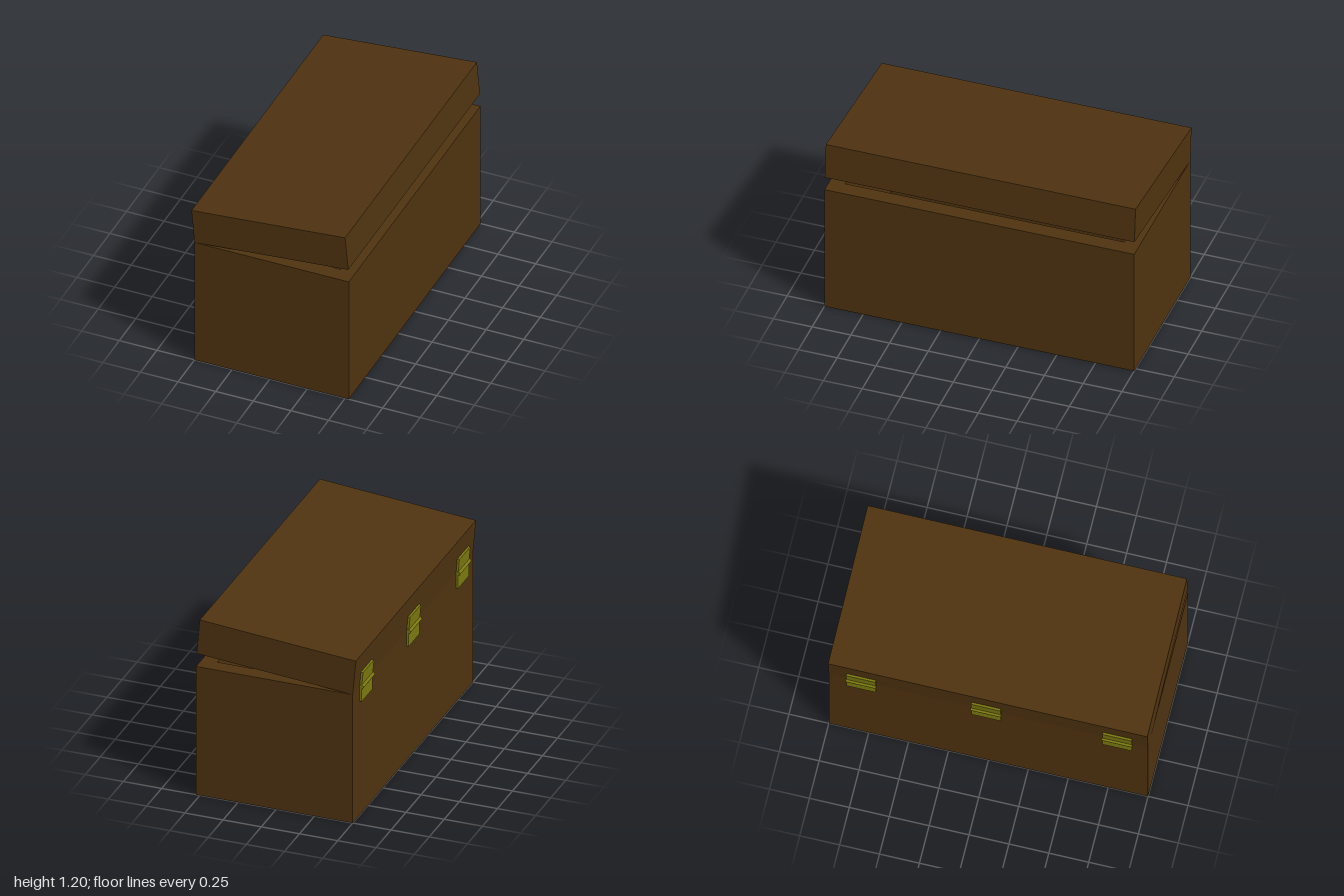
import * as THREE from 'three';

const WOOD = new THREE.MeshStandardMaterial({ color: 0x4f3310, flatShading: true });
const BRASS = new THREE.MeshStandardMaterial({ color: 0x7d7a10 });

const WIDTH = 1.025, LENGTH = 2, WALL = 0.1;
const BACK = -0.5, BASE_H = 0.88, LID_H = 0.235;
const OPEN = THREE.MathUtils.degToRad(5);

function mesh(name, geometry, material, x = 0, y = 0, z = 0) {
  const m = new THREE.Mesh(geometry, material);
  m.name = name;
  m.position.set(x, y, z);
  return m;
}

// Rectangular outline in plan, starting at the hinge edge
function rectangle(Type, inset) {
  const x0 = inset, x1 = WIDTH - inset, z = LENGTH / 2 - inset;
  return new Type([[x0, -z], [x1, -z], [x1, z], [x0, z]].map(p => new THREE.Vector2(...p)));
}

// Hollow wooden box: four walls plus a panel closing one end
function hollowBox(name, height, panelY) {
  const group = new THREE.Group();
  group.name = name;
  const outline = rectangle(THREE.Shape, 0);
  outline.holes.push(rectangle(THREE.Path, WALL));
  const walls = new THREE.ExtrudeGeometry(outline, { depth: height, bevelEnabled: false });
  walls.rotateX(-Math.PI / 2);
  const panel = new THREE.BoxGeometry(WIDTH - 2 * WALL, WALL, LENGTH - 2 * WALL);
  group.add(mesh(name + 'Walls', walls, WOOD));
  group.add(mesh(name + 'Panel', panel, WOOD, WIDTH / 2, panelY, 0));
  return group;
}

export function createModel() {
  const model = new THREE.Group();
  model.name = 'chest';

  // Open-topped base
  const base = hollowBox('base', BASE_H, WALL / 2);
  base.position.x = BACK;
  model.add(base);

  // Lid, pivoting on the base's rear top edge
  const lid = hollowBox('lid', LID_H, LID_H - WALL / 2);
  lid.position.set(BACK, BASE_H, 0);
  lid.rotation.z = OPEN;
  model.add(lid);

  // Three hinges: a leaf on the base, a leaf on the lid and a pin between
  const leaf = new THREE.BoxGeometry(0.014, 0.1, 0.183);
  const pin = new THREE.CylinderGeometry(0.013, 0.013, 0.19, 16).rotateX(Math.PI / 2);
  [-0.795, -0.012, 0.81].forEach((z, i) => {
    const fixed = new THREE.Group();
    fixed.name = 'hinge' + (i + 1);
    fixed.add(mesh('baseLeaf', leaf, BRASS, BACK - 0.007, BASE_H - 0.05, z));
    fixed.add(mesh('hingePin', pin, BRASS, BACK - 0.014, BASE_H + 0.003, z));
    model.add(fixed);
    lid.add(mesh('lidLeaf' + (i + 1), leaf, BRASS, -0.007, 0.053, z));
  });

  return model;
}
